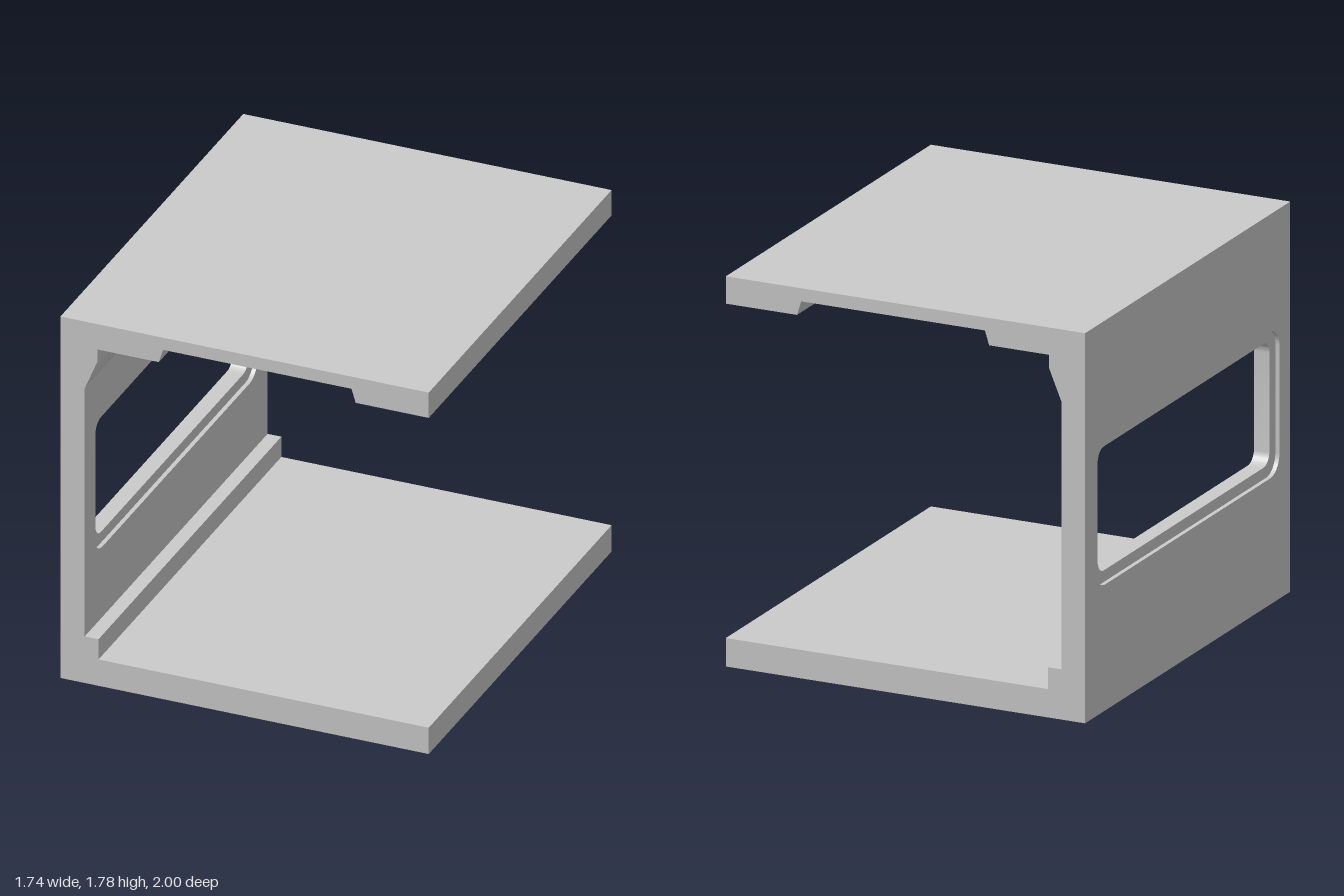
import * as THREE from 'three';
import { toCreasedNormals } from 'three/addons/utils/BufferGeometryUtils.js';

const LENGTH = 2, HEIGHT = 1.785, SIDE = 0.87, WALL_INNER = -0.755, RECESS = 0.02;

// Rounded rectangle path, centred on u = 0
function roundedRect(path, halfWidth, y0, y1, r) {
  path.absarc(halfWidth - r, y0 + r, r, -Math.PI / 2, 0, false);
  path.absarc(halfWidth - r, y1 - r, r, 0, Math.PI / 2, false);
  path.absarc(-halfWidth + r, y1 - r, r, Math.PI / 2, Math.PI, false);
  path.absarc(-halfWidth + r, y0 + r, r, Math.PI, Math.PI * 1.5, false);
  path.closePath();
  return path;
}

export function createModel() {
  const group = new THREE.Group();
  const material = new THREE.MeshStandardMaterial({ color: 0xcccccc });

  const add = (name, shape, depth, place) => {
    const geometry = new THREE.ExtrudeGeometry(shape, { depth, bevelEnabled: false, curveSegments: 10 });
    place(geometry);
    const mesh = new THREE.Mesh(toCreasedNormals(geometry, 0.5), material);
    mesh.name = name;
    group.add(mesh);
  };

  // Floor and roof: cross-sections run along the length
  const addSection = (name, points) => add(
    name,
    new THREE.Shape(points.map(([x, y]) => new THREE.Vector2(x, y))),
    LENGTH,
    (g) => g.translate(0, 0, -LENGTH / 2)
  );

  // Floor with a low ledge beside the wall
  addSection('floor', [
    [WALL_INNER, 0], [SIDE, 0], [SIDE, 0.13], [-0.69, 0.13], [-0.69, 0.23], [WALL_INNER, 0.23],
  ]);

  // Roof with a wall haunch and a shallow ceiling channel
  addSection('roof', [
    [WALL_INNER, HEIGHT], [WALL_INNER, 1.455], [-0.695, 1.6], [-0.695, 1.66], [-0.405, 1.66],
    [-0.385, 1.725], [0.505, 1.725], [0.525, 1.66], [SIDE, 1.66], [SIDE, HEIGHT],
  ]);

  // Wall in three layers: the faces have a wider opening, leaving a recessed window rim
  const addWall = (name, x0, x1, opening) => {
    const h = LENGTH / 2;
    const shape = new THREE.Shape([
      new THREE.Vector2(-h, 0), new THREE.Vector2(h, 0),
      new THREE.Vector2(h, HEIGHT), new THREE.Vector2(-h, HEIGHT),
    ]);
    shape.holes.push(roundedRect(new THREE.Path(), ...opening));
    add(name, shape, x1 - x0, (g) => g.rotateY(Math.PI / 2).translate(x0, 0, 0));
  };
  const recessOpening = [0.895, 0.577, 1.247, 0.09];
  const windowOpening = [0.838, 0.63, 1.197, 0.06];
  addWall('wallOuterFace', -SIDE, -SIDE + RECESS, recessOpening);
  addWall('wallCore', -SIDE + RECESS, WALL_INNER - RECESS, windowOpening);
  addWall('wallInnerFace', WALL_INNER - RECESS, WALL_INNER, recessOpening);

  return group;
}
